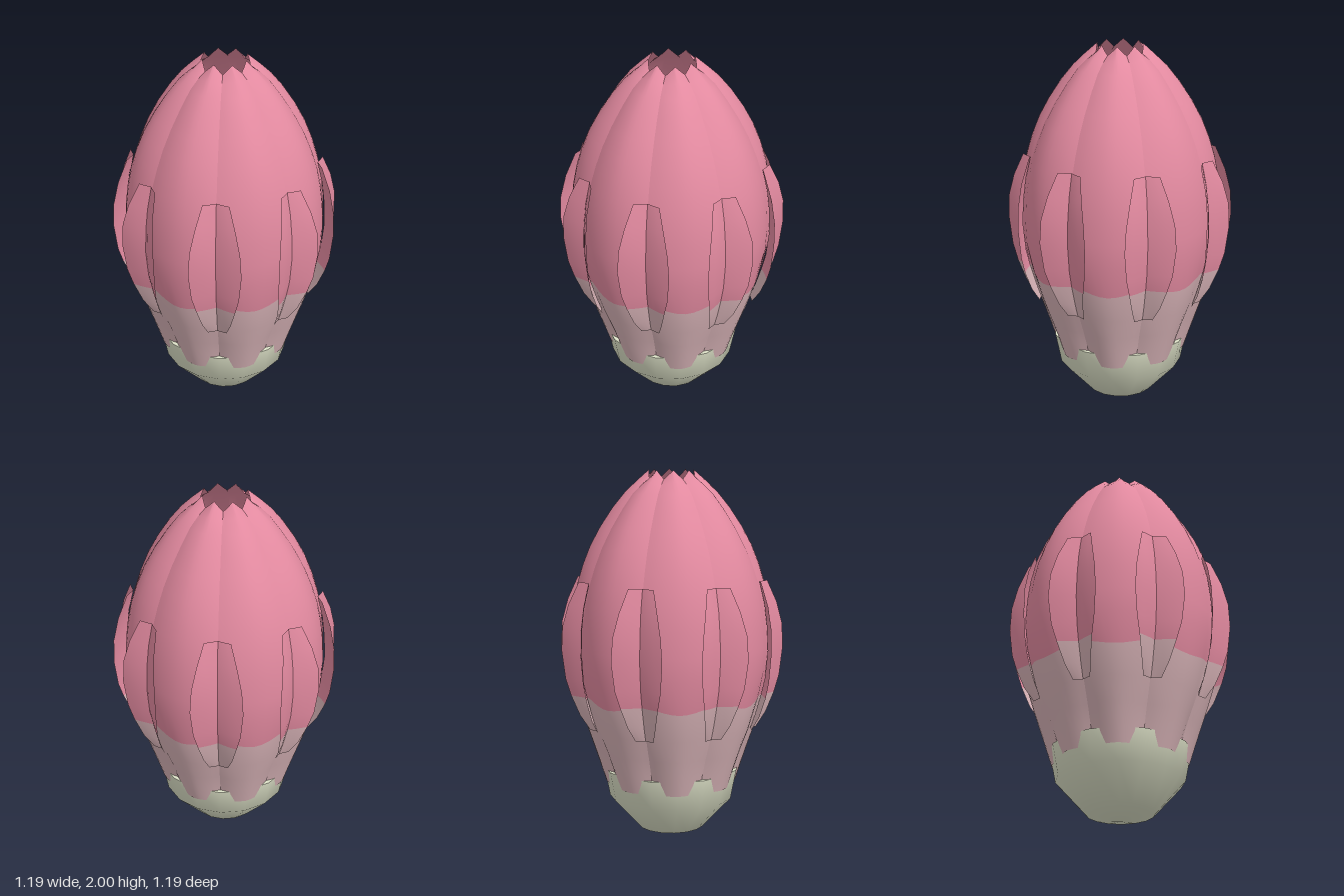
import * as THREE from 'three';

const SECTOR = Math.PI / 8; // half the angle of one of the eight petals

const mat = (name, color) => {
  const m = new THREE.MeshStandardMaterial({ color, side: THREE.DoubleSide });
  m.name = name;
  return m;
};

// Petal rows: height, radius on the midrib, depth of the valley beside it
const PETAL = [
  [0.3, 0.36, 0.1], [0.4, 0.392, 0.1], [0.5, 0.425, 0.085], [0.62, 0.465, 0.06],
  [0.79, 0.512, 0.035], [0.95, 0.538, 0.025], [1.07, 0.543, 0.025], [1.2, 0.537, 0.03],
  [1.3, 0.525, 0.035], [1.4, 0.505, 0.04], [1.5, 0.475, 0.05], [1.6, 0.435, 0.06],
  [1.7, 0.381, 0.07], [1.8, 0.315, 0.085], [1.88, 0.25, 0.09], [1.94, 0.188, 0.06], [2, 0.12, -0.08],
];
// Fold rows: height, half angle in degrees, lift of the edges off the petals
const FOLD = [
  [0.62, 6, 0.004], [0.7, 8.3, 0.032], [0.79, 10.3, 0.05], [0.9, 12, 0.058], [1.05, 13, 0.063],
  [1.18, 12.3, 0.062], [1.3, 10.3, 0.045], [1.42, 7.5, 0.02],
];
// Inner bud rows, seen through the opening
const CORE = [
  [1.45, 0.36, 0.06], [1.6, 0.27, 0.08], [1.7, 0.18, 0.1], [1.77, 0.1, 0.1], [1.82, 0.04, 0], [1.8, 0, 0],
];
const SPLIT = 4; // row where the blush base ends, in both PETAL and FOLD

// Value of a petal column at any height
function at(y, col) {
  let i = 0;
  while (i < PETAL.length - 2 && PETAL[i + 1][0] < y) i++;
  const a = PETAL[i], b = PETAL[i + 1];
  return THREE.MathUtils.lerp(a[col], b[col], (y - a[0]) / (b[0] - a[0]));
}

// Sheet over rows; place(u, row, rowIndex) gives [angle, radius, height]
function sheet(rows, u0, u1, segs, split, place) {
  const pos = [], idx = [];
  rows.forEach((row, j) => {
    for (let i = 0; i <= segs; i++) {
      const [a, r, y] = place(u0 + ((u1 - u0) * i) / segs, row, j);
      pos.push(r * Math.sin(a), y, r * Math.cos(a));
      if (i < segs && j < rows.length - 1) {
        const p = j * (segs + 1) + i, q = p + segs + 1;
        idx.push(p, p + 1, q, p + 1, q + 1, q);
      }
    }
  });
  const g = new THREE.BufferGeometry();
  g.setAttribute('position', new THREE.Float32BufferAttribute(pos, 3));
  g.setIndex(idx);
  g.computeVertexNormals();
  const cut = split * segs * 6;
  if (cut) g.addGroup(0, cut, 0);
  g.addGroup(cut, idx.length - cut, 1);
  return g;
}

const lobe = (u) => Math.pow(Math.abs(u), 1.5);

export function createModel() {
  const group = new THREE.Group();
  const pink = mat('petal pink', 0xe38aa0);
  const blush = mat('blush base', 0xd9b4b8);
  const cream = mat('cream green', 0xdfe3c9);
  const skins = [blush, pink];

  // Eight petals, pointed at the top, with a wavy colour line
  const petalGeo = sheet(PETAL, -1, 1, 10, SPLIT, (u, [y, r, d], j) => {
    let h = y;
    if (j === SPLIT) h -= 0.016 * Math.cos(u * Math.PI);
    if (j === PETAL.length - 1) h -= 0.045 * Math.abs(u);
    if (j === PETAL.length - 2) h -= 0.015 * Math.abs(u);
    return [u * SECTOR, r * (1 - d * lobe(u)), h];
  });
  const coreGeo = sheet(CORE, -1, 1, 6, 0, (u, [y, r, d]) => [u * SECTOR, r * (1 - d * lobe(u)), y]);

  // V-shaped folds standing out between the petals, each in two halves
  const foldHalf = (u0, u1) => sheet(FOLD, u0, u1, 3, SPLIT - 2, (u, [y, deg, lift], j) => {
    const valley = at(y, 1) * (1 - at(y, 2)) + 0.01;
    const edge = at(y, 1) + lift;
    const h = j === 2 ? 0.808 : y;
    return [u * THREE.MathUtils.degToRad(deg), THREE.MathUtils.lerp(valley, edge, Math.abs(u)), h];
  });
  const foldGeos = [foldHalf(-1, 0), foldHalf(0, 1)];

  for (let k = 0; k < 8; k++) {
    const add = (name, geo, angle) => {
      const m = new THREE.Mesh(geo, skins);
      m.name = name;
      m.rotation.y = angle;
      group.add(m);
    };
    add('petal', petalGeo, k * 2 * SECTOR);
    add('innerPetal', coreGeo, k * 2 * SECTOR);
    foldGeos.forEach((g) => add('petalFold', g, (k * 2 + 1) * SECTOR));
  }

  // Cup under the petals, with a flat rim
  const wall = [[0, 0], [0.18, 0.04], [0.34, 0.215], [0.372, 0.38]].map((p) => new THREE.Vector2(...p));
  const cup = new THREE.Mesh(new THREE.LatheGeometry(wall, 16), cream);
  cup.name = 'cup';
  const rim = new THREE.Mesh(new THREE.RingGeometry(0.3, 0.372, 16), cream);
  rim.name = 'cupRim';
  rim.rotation.x = -Math.PI / 2;
  rim.position.y = 0.38;
  group.add(cup, rim);
  return group;
}
